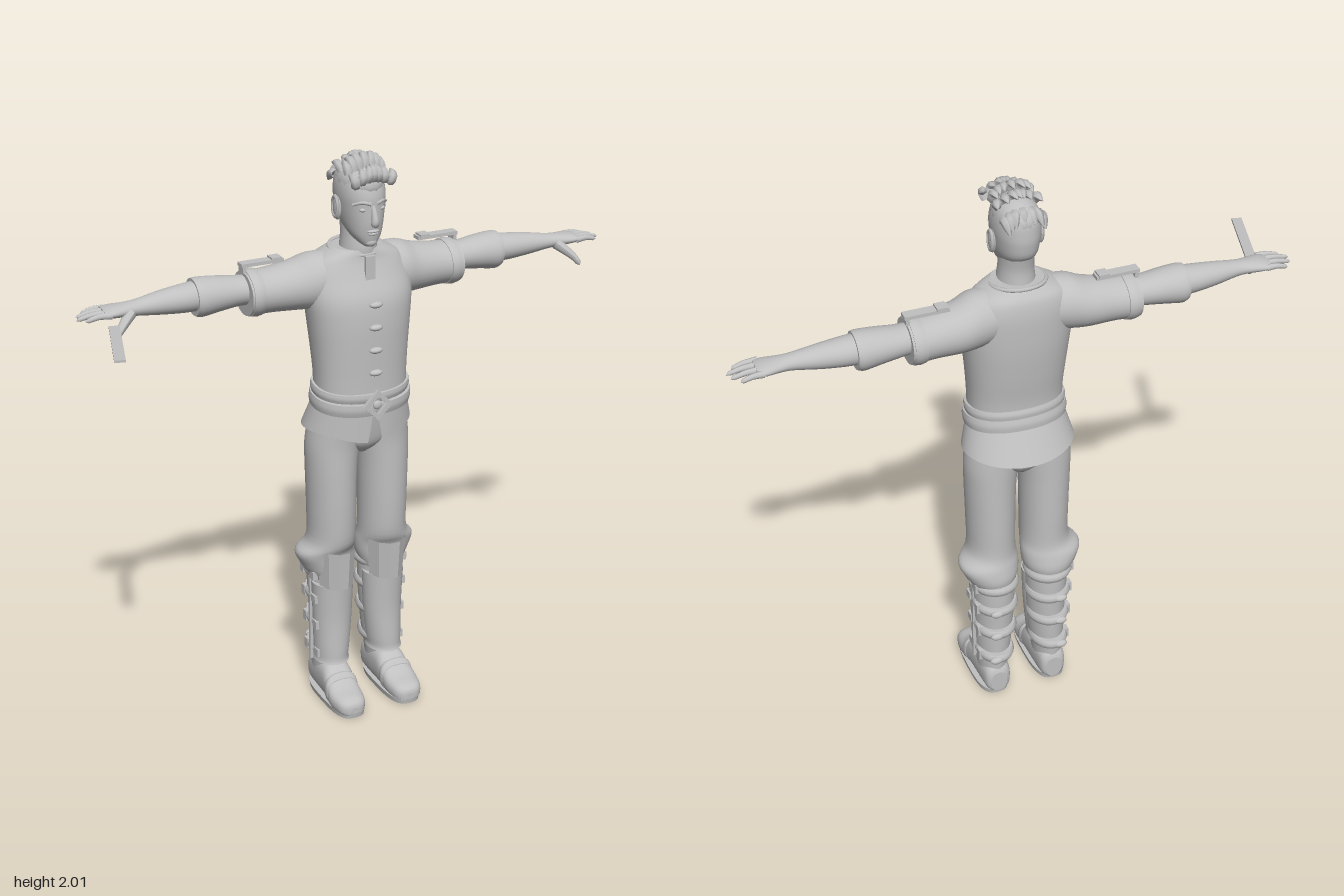
import * as THREE from 'three';

const grey = new THREE.MeshStandardMaterial({ color: 0xc0c0c0, side: THREE.DoubleSide });
grey.name = 'plain grey';

// Smooth loft through superellipse sections [s, c1, c2, r1, r2] stacked along an axis, with end caps
function loft(axis, rows, { seg = 28, sub = 4, n = 2 } = {}) {
  const rings = [];
  for (let i = 0; i < rows.length - 1; i++) {
    const [a, b, c, d] = [rows[Math.max(i - 1, 0)], rows[i], rows[i + 1], rows[Math.min(i + 2, rows.length - 1)]];
    for (let k = 0; k < sub; k++) {
      const t = k / sub;
      rings.push(b.map((v, j) => v + 0.5 * t * (c[j] - a[j]
        + t * (2 * a[j] - 5 * v + 4 * c[j] - d[j] + t * (3 * (v - c[j]) + d[j] - a[j])))));
    }
  }
  rings.push(rows[rows.length - 1]);
  const place = (s, u, v) => axis === 'y' ? [u, s, v] : axis === 'x' ? [s, u, v] : [u, v, s];
  const pos = [], idx = [];
  const tri = (a, b, c) => axis === 'y' ? idx.push(a, c, b) : idx.push(a, b, c);
  const pow = v => Math.sign(v) * Math.abs(v) ** (2 / n);
  const addRing = ([s, c1, c2, r1, r2]) => {
    for (let j = 0; j < seg; j++) {
      const a = j / seg * Math.PI * 2;
      pos.push(...place(s, c1 + r1 * pow(Math.cos(a)), c2 + r2 * pow(Math.sin(a))));
    }
  };
  rings.forEach(addRing);
  for (let i = 0; i < rings.length - 1; i++) for (let j = 0; j < seg; j++) {
    const a = i * seg + j, b = i * seg + (j + 1) % seg;
    tri(a, b, b + seg); tri(a, b + seg, a + seg);
  }
  [rings[0], rings[rings.length - 1]].forEach((r, e) => {
    const o = pos.length / 3;
    addRing(r);
    pos.push(...place(r[0], r[1], r[2]));
    for (let j = 0; j < seg; j++) {
      const a = o + j, b = o + (j + 1) % seg;
      e ? tri(o + seg, a, b) : tri(o + seg, b, a);
    }
  });
  const g = new THREE.BufferGeometry();
  g.setAttribute('position', new THREE.Float32BufferAttribute(pos, 3));
  g.setIndex(idx);
  g.computeVertexNormals();
  return g;
}

// Tapered tube along points; radius(t) gives the thickness
function limb(points, radius, seg = 10, N = 10) {
  const curve = new THREE.CatmullRomCurve3(points.map(p => new THREE.Vector3(...p)));
  const g = new THREE.TubeGeometry(curve, N, 1, seg, false), p = g.attributes.position, v = new THREE.Vector3();
  for (let i = 0; i <= N; i++) {
    const c = curve.getPointAt(i / N);
    for (let j = 0; j <= seg; j++) {
      const k = i * (seg + 1) + j;
      v.fromBufferAttribute(p, k).sub(c).multiplyScalar(radius(i / N)).add(c);
      p.setXYZ(k, v.x, v.y, v.z);
    }
  }
  g.computeVertexNormals();
  return g;
}

const ball = (x, y, z, rx, ry, rz) => new THREE.SphereGeometry(1, 18, 12).scale(rx, ry, rz).translate(x, y, z);
const box = (x, y, z, w, h, d) => new THREE.BoxGeometry(w, h, d).translate(x, y, z);

function mirrored(geo) {
  const g = geo.clone().scale(-1, 1, 1);
  const src = g.index ? Array.from(g.index.array) : Array.from({ length: g.attributes.position.count }, (_, i) => i);
  for (let i = 0; i < src.length; i += 3) [src[i + 1], src[i + 2]] = [src[i + 2], src[i + 1]];
  g.setIndex(src);
  g.computeVertexNormals();
  return g;
}

export function createModel() {
  const root = new THREE.Group();
  const add = (name, geo) => {
    const m = new THREE.Mesh(geo, grey);
    m.name = name;
    root.add(m);
    return m;
  };
  const both = (name, geo) => { add(name + 'Left', geo); add(name + 'Right', mirrored(geo)); };

  // Tunic body, collar and front fastening
  add('tunic', loft('y', [
    [1.15, 0, -.05, .163, .118], [1.25, 0, -.05, .163, .118], [1.35, 0, -.055, .17, .125], [1.45, 0, -.06, .18, .13],
    [1.53, 0, -.066, .188, .127], [1.6, 0, -.08, .183, .112], [1.65, 0, -.085, .16, .098], [1.675, 0, -.08, .12, .088],
    [1.69, 0, -.075, .085, .08]], { seg: 40, n: 2.3 }));
  const collar = new THREE.TorusGeometry(1, .08, 8, 36).rotateX(Math.PI / 2).scale(.092, .09, .083);
  add('collar', collar.rotateX(.12).translate(0, 1.682, -.077));
  add('placket', box(0, 1.635, .027, .034, .08, .014).rotateX(0));
  for (const y of [1.52, 1.44, 1.36, 1.28]) add('toggle', ball(0, y, .073, .024, .011, .014));

  // Flared tunic hem, split at the front
  const skirt = new THREE.PlaneGeometry(1, 1, 56, 8), sp = skirt.attributes.position;
  for (let i = 0; i < sp.count; i++) {
    const t = .5 - sp.getY(i), gap = .02 + .12 * t;
    const a = Math.PI / 2 + gap + (sp.getX(i) + .5) * (Math.PI * 2 - 2 * gap);
    const s = Math.sin(a), drop = s > 0 ? .115 + .035 * s ** 4 : .115 + .015 * s * s;
    sp.setXYZ(i, (.165 + .031 * t) * Math.cos(a), 1.175 - drop * t, -.05 - .032 * t + (.122 + .03 * t) * s);
  }
  skirt.computeVertexNormals();
  add('tunicSkirt', skirt);

  // Tilted double belt with diamond buckle
  for (const [y, r, h] of [[1.205, .004, .016], [1.165, .009, .022]]) {
    const g = loft('y', [[-h, 0, 0, .167 + r, .121 + r], [0, 0, 0, .17 + r, .124 + r], [h, 0, 0, .167 + r, .121 + r]], { seg: 40, n: 2.2 });
    add('belt', g.rotateX(.13).translate(0, y, -.05));
  }
  const diamond = new THREE.Shape([[0, .054], [-.054, 0], [0, -.054], [.054, 0]].map(p => new THREE.Vector2(...p)));
  diamond.holes.push(new THREE.Path([[0, .032], [.032, 0], [0, -.032], [-.032, 0]].map(p => new THREE.Vector2(...p))));
  add('buckle', new THREE.ExtrudeGeometry(diamond, { depth: .014, bevelEnabled: false }).translate(0, 1.168, .079));
  add('buckleStud', ball(0, 1.168, .084, .016, .016, .008));

  // Sleeves, forearms and shoulder straps
  both('sleeve', loft('x', [
    [.08, 1.585, -.088, .09, .085], [.16, 1.58, -.095, .095, .093], [.22, 1.57, -.105, .085, .088], [.3, 1.565, -.11, .076, .082],
    [.36, 1.563, -.113, .074, .084], [.392, 1.563, -.113, .074, .084]]));
  both('sleeveTrim', loft('x', [[.345, 1.563, -.113, .077, .087], [.365, 1.563, -.113, .08, .09], [.385, 1.563, -.113, .077, .087]]));
  both('cuff', loft('x', [
    [.37, 1.575, -.115, .05, .055], [.42, 1.575, -.12, .051, .058], [.49, 1.575, -.122, .06, .064], [.545, 1.573, -.123, .066, .068],
    [.566, 1.575, -.123, .062, .064]]));
  both('forearm', loft('x', [
    [.54, 1.58, -.122, .05, .054], [.6, 1.578, -.12, .047, .052], [.68, 1.577, -.117, .039, .043], [.76, 1.576, -.112, .027, .033],
    [.8, 1.576, -.111, .023, .036], [.85, 1.577, -.112, .019, .047], [.878, 1.577, -.114, .013, .046]]));
  both('shoulderStrap', box(.325, 1.66, -.12, .15, .012, .036));
  both('strapEnd', box(.39, 1.65, -.12, .012, .03, .036));
  both('strapBuckle', box(.275, 1.666, -.12, .036, .012, .04));

  // Fingers and thumb
  [[-.154, .935], [-.126, .96], [-.098, .967], [-.072, .945]].forEach(([z, x], i) => {
    both('finger' + (i + 1), limb([[.86, 1.577, z + .003], [(.86 + x) / 2, 1.578, z], [x, 1.568, z - .002]],
      t => t > .99 ? .001 : .0118 - .005 * t));
  });
  both('thumb', limb([[.79, 1.57, -.09], [.825, 1.54, -.066], [.85, 1.515, -.05], [.862, 1.493, -.038]],
    t => t > .99 ? .001 : .021 - .012 * t));

  // Flat stick by the right hand
  const stick = add('stick', new THREE.BoxGeometry(.035, .008, .3));
  stick.position.set(-.9, 1.543, .085);
  stick.rotation.y = Math.atan2(-.085, .29);

  // Neck, head and face
  add('neck', loft('y', [[1.64, 0, -.065, .07, .07], [1.69, 0, -.06, .062, .07], [1.74, 0, -.062, .057, .066], [1.8, 0, -.07, .056, .07]]));
  add('head', loft('y', [
    [1.71, 0, .02, .016, .018], [1.722, 0, .006, .032, .038], [1.75, 0, -.018, .053, .068], [1.79, 0, -.044, .066, .1],
    [1.84, 0, -.051, .074, .108], [1.88, 0, -.052, .077, .108], [1.92, 0, -.055, .072, .1], [1.95, 0, -.055, .058, .08],
    [1.97, 0, -.055, .03, .045], [1.975, 0, -.055, .005, .008]], { seg: 32, n: 2.2 }));
  add('nose', limb([[0, 1.853, .05], [0, 1.82, .062], [0, 1.797, .066], [0, 1.786, .058]], t => .007 + .008 * t * (t > .95 ? .2 : 1)));
  add('upperLip', ball(0, 1.766, .05, .022, .006, .011));
  add('lowerLip', ball(0, 1.757, .048, .018, .006, .011));
  add('chin', ball(0, 1.725, .032, .022, .016, .016));
  both('brow', limb([[.01, 1.858, .053], [.035, 1.864, .046], [.06, 1.854, .022]], t => .0075 - .003 * t, 8));
  both('eye', ball(.032, 1.839, .043, .014, .007, .009));
  both('ear', ball(.078, 1.827, -.055, .011, .04, .023).rotateX(0));
  both('earRim', new THREE.TorusGeometry(.024, .006, 6, 16).rotateY(Math.PI / 2).scale(1, 1.4, .85).translate(.084, 1.832, -.057));

  // Swept-back hair made of tapered locks
  add('hairCap', ball(0, 1.912, -.052, .074, .066, .107));
  for (let i = -3; i <= 3; i++) for (let j = 0; j < 4; j++) {
    const x = i * .02, w = 1 - (i / 4.5) ** 2, z = .045 - j * .05, lift = [.012, .02, .012, -.01][j];
    const y = 1.925 + .035 * w - (j === 3 ? .02 : 0) - (j === 0 ? .025 : 0);
    const jag = .006 * Math.sin(i * 5 + j * 3);
    add('hairLock', limb([[x, y, z], [x * 1.05 + jag, y + lift + .02 * w, z + (j ? -.018 : .012)],
      [x * 1.1 + jag * 2, y + lift + .018 * w + (j === 0 ? .018 : 0) - (j === 3 ? .03 : 0), z - (j ? .05 : .02)]],
    t => .003 + .014 * Math.sin(Math.PI * Math.min(1, .3 + .7 * t)), 6, 7));
  }

  // Trousers gathered below the knee
  add('trouserSeat', loft('y', [[.955, 0, -.08, .03, .06], [.985, 0, -.078, .1, .088], [1.03, 0, -.075, .16, .102], [1.16, 0, -.06, .16, .11]]));
  both('trouserLeg', loft('y', [
    [.47, .1, -.1, .068, .08], [.5, .105, -.102, .083, .09], [.535, .11, -.104, .098, .094], [.58, .116, -.098, .107, .092],
    [.63, .1, -.08, .086, .096], [.75, .099, -.076, .085, .1], [.9, .099, -.075, .089, .1], [1, .094, -.075, .094, .1],
    [1.1, .085, -.07, .085, .105]]));

  // Boots: shaft, greave, knee plate
  both('bootShaft', loft('y', [
    [.06, .108, -.105, .05, .07], [.14, .106, -.1, .056, .078], [.2, .103, -.1, .063, .082], [.32, .1, -.103, .069, .083],
    [.42, .1, -.106, .073, .084], [.49, .1, -.106, .074, .084]]));
  both('greave', loft('y', [
    [.145, .106, -.075, .064, .077], [.16, .106, -.075, .061, .073], [.2, .104, -.075, .064, .072], [.32, .1, -.075, .071, .068],
    [.46, .1, -.07, .076, .07]]));
  const plate = new THREE.CylinderGeometry(.075, .068, .145, 5, 1, true, -1.25, 2.5).toNonIndexed();
  plate.computeVertexNormals();
  both('kneePlate', plate.scale(1, 1, 1.5).translate(.098, .53, -.076));
  both('sideRod', box(.172, .32, -.098, .012, .36, .012));

  // Straps and buckles
  for (const [y, rx, cx] of [[.495, .08, .1], [.4, .075, .1], [.295, .07, .101], [.18, .063, .104]]) {
    both('bootStrap', loft('y', [[y - .017, cx, -.118, rx, .082], [y, cx, -.118, rx + .007, .09], [y + .017, cx, -.118, rx, .082]], { sub: 2 }));
    both('strapPlate', box(cx + rx - .004, y, -.062, .018, .03, .03));
    both('legBuckle', box(cx + rx - .006, y, -.142, .024, .038, .026));
    if (y < .45) both('rearTab', ball(cx + .02, y, -.2, .024, .014, .014));
  }

  // Shoes with soles and instep band
  both('shoe', loft('z', [
    [-.182, .107, .055, .03, .042], [-.165, .107, .065, .047, .06], [-.1, .107, .073, .054, .07], [-.03, .108, .073, .057, .07],
    [.01, .11, .06, .059, .057], [.06, .112, .043, .062, .041], [.11, .112, .036, .052, .034], [.132, .112, .03, .034, .026],
    [.138, .112, .026, .015, .014]], { n: 2.6 }));
  both('sole', loft('y', [[0, .11, -.02, .06, .157], [.02, .11, -.02, .063, .16]], { n: 3, sub: 1 }));
  both('instepBand', loft('z', [[.005, .11, .06, .06, .058], [.018, .11, .059, .063, .06], [.032, .111, .052, .062, .052]], { n: 2.6 }));

  return root;
}
